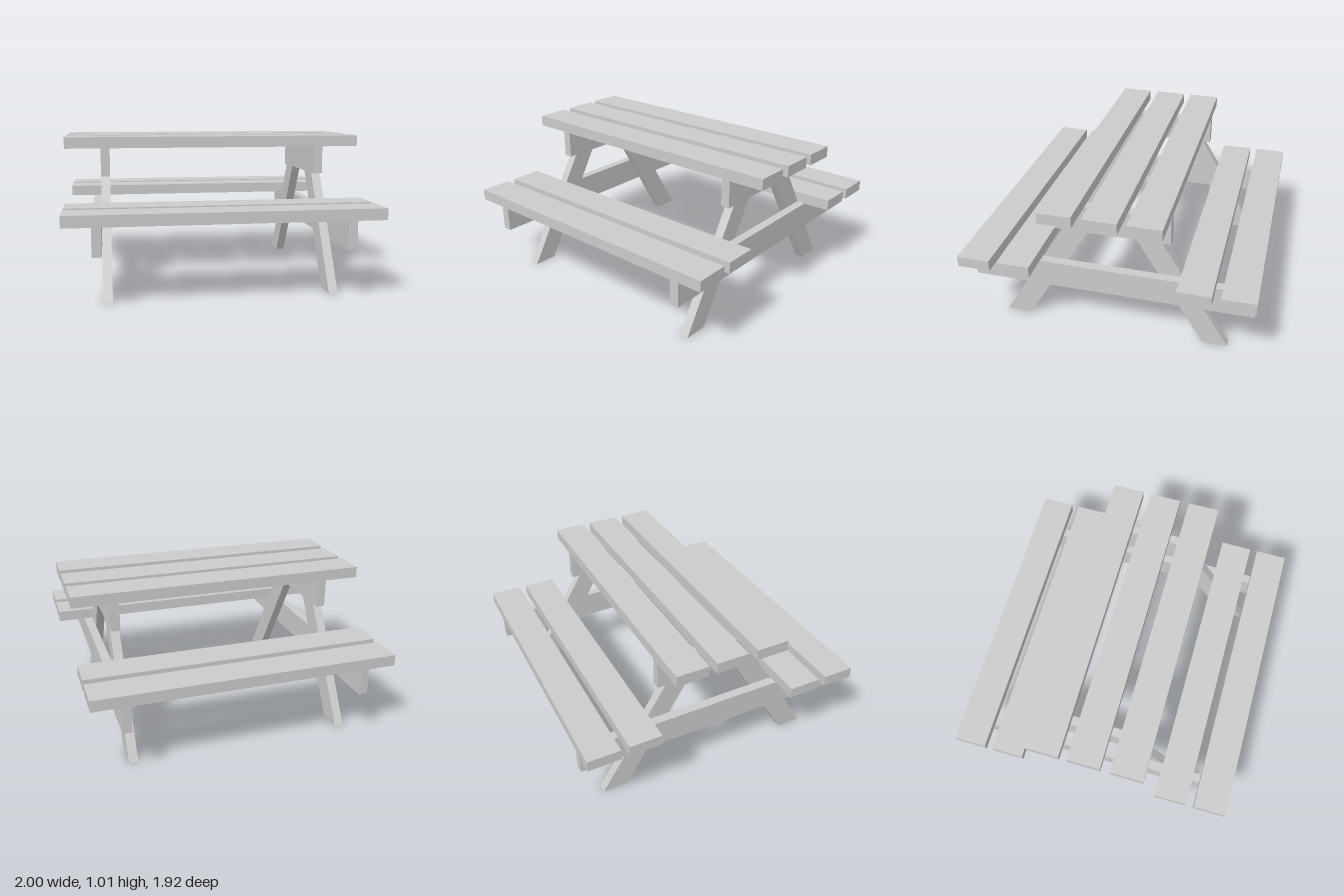
import * as THREE from 'three';

const material = new THREE.MeshStandardMaterial({ color: 0xcccccc, flatShading: true });

// Box given by its [min, max] extent on each axis
function board(name, [x0, x1], [y0, y1], [z0, z1]) {
  const mesh = new THREE.Mesh(new THREE.BoxGeometry(x1 - x0, y1 - y0, z1 - z0), material);
  mesh.position.set((x0 + x1) / 2, (y0 + y1) / 2, (z0 + z1) / 2);
  mesh.name = name;
  return mesh;
}

// Slanted leg with level ends, leaning inward; side is +1 (front) or -1 (back)
function leg(side, x0, thickness) {
  const shape = new THREE.Shape([
    [0.779, 0], [0.329, 0.75], [0.162, 0.75], [0.612, 0],
  ].map(([z, y]) => new THREE.Vector2(-side * z, y)));
  const geometry = new THREE.ExtrudeGeometry(shape, { depth: thickness, bevelEnabled: false });
  geometry.rotateY(Math.PI / 2); // shape x becomes -z, depth becomes +x
  const mesh = new THREE.Mesh(geometry, material);
  mesh.position.set(x0, 0, -0.006);
  mesh.name = side > 0 ? 'frontLeg' : 'backLeg';
  return mesh;
}

export function createModel() {
  const model = new THREE.Group();
  model.name = 'picnicTable';
  const length = [-1, 1];
  const plankWidth = 0.218;

  // Tabletop planks
  for (const z of [-0.277, -0.005, 0.277]) {
    model.add(board('tabletopPlank', length, [0.938, 1.012], [z - plankWidth / 2, z + plankWidth / 2]));
  }

  // Two bench planks on each side
  for (const side of [-1, 1]) {
    for (const z of [0.582, 0.853]) {
      const c = side * z;
      model.add(board('benchPlank', length, [0.514, 0.588], [c - plankWidth / 2, c + plankWidth / 2]));
    }
  }

  // End frames: legs and top cleat in one plane, bench beam on the outside
  for (const side of [-1, 1]) {
    const frame = new THREE.Group();
    frame.name = side > 0 ? 'leftFrame' : 'rightFrame';
    const thickness = 0.06;
    const x = side * 0.73 - 0.004;
    const beamX = x + side * thickness;
    const span = (c) => [c - thickness / 2, c + thickness / 2];
    frame.add(
      leg(1, x - thickness / 2, thickness),
      leg(-1, x - thickness / 2, thickness),
      board('topCleat', span(x), [0.75, 0.938], [-0.388, 0.376]),
      board('benchBeam', span(beamX), [0.329, 0.514], [-0.948, 0.938]),
    );
    model.add(frame);
  }
  return model;
}
